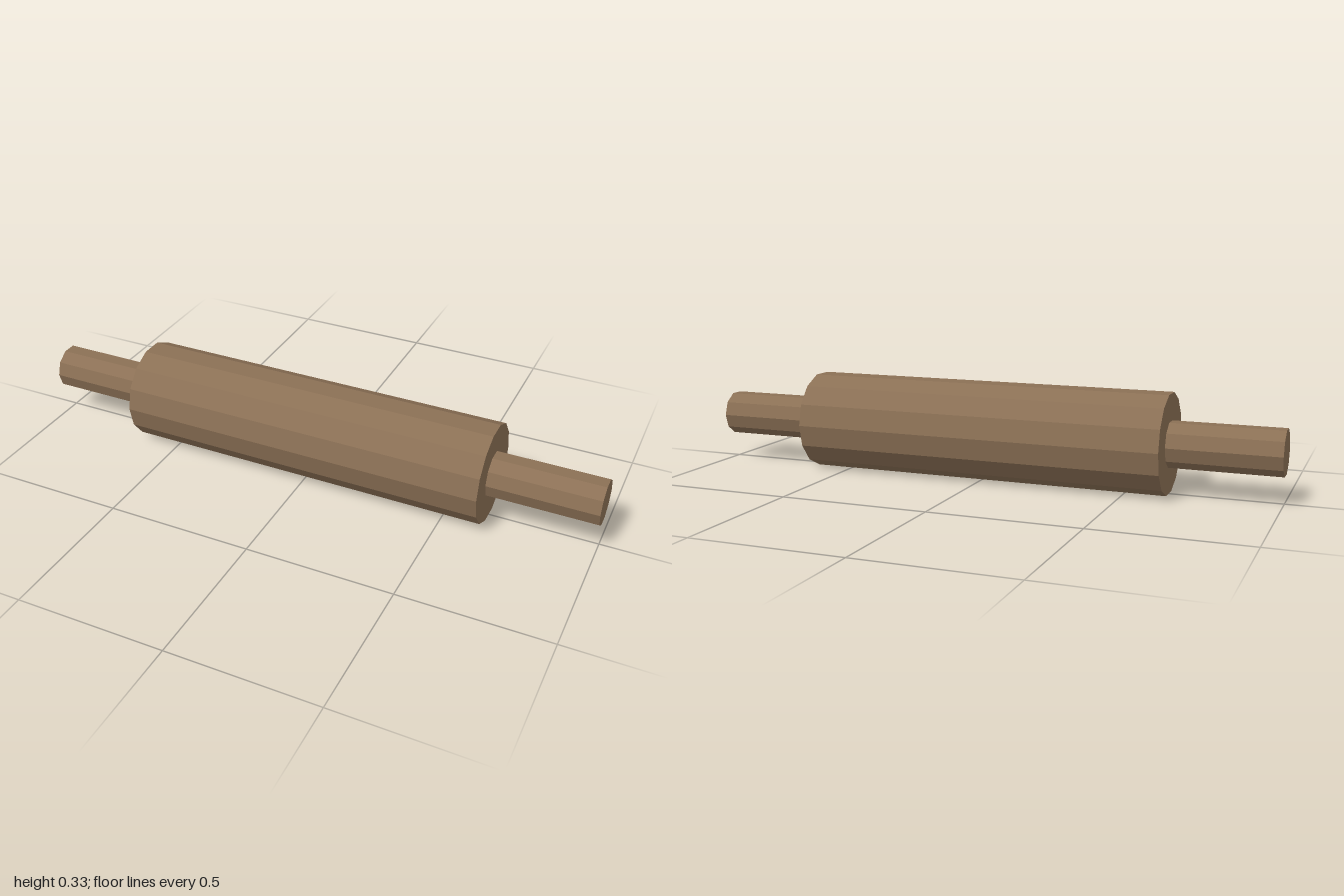
import * as THREE from 'three';

const AXIS_HEIGHT = 0.164;

export function createModel() {
  const model = new THREE.Group();
  model.name = 'rollingPin';
  const wood = new THREE.MeshStandardMaterial({ color: 0x8b7055, flatShading: true });
  wood.name = 'brownWood';

  // Faceted rod lying along x, with a corner facing the front
  function addRod(name, radius, sides, x0, x1) {
    const geometry = new THREE.CylinderGeometry(radius, radius, x1 - x0, sides);
    geometry.rotateZ(Math.PI / 2);
    const rod = new THREE.Mesh(geometry, wood);
    rod.name = name;
    rod.position.set((x0 + x1) / 2, AXIS_HEIGHT, 0);
    model.add(rod);
  }

  // Thick barrel and the two slim handles
  addRod('barrel', 0.168, 14, -0.635, 0.635);
  addRod('leftHandle', 0.077, 10, 0.635, 1);
  addRod('rightHandle', 0.077, 10, -1, -0.635);

  return model;
}
